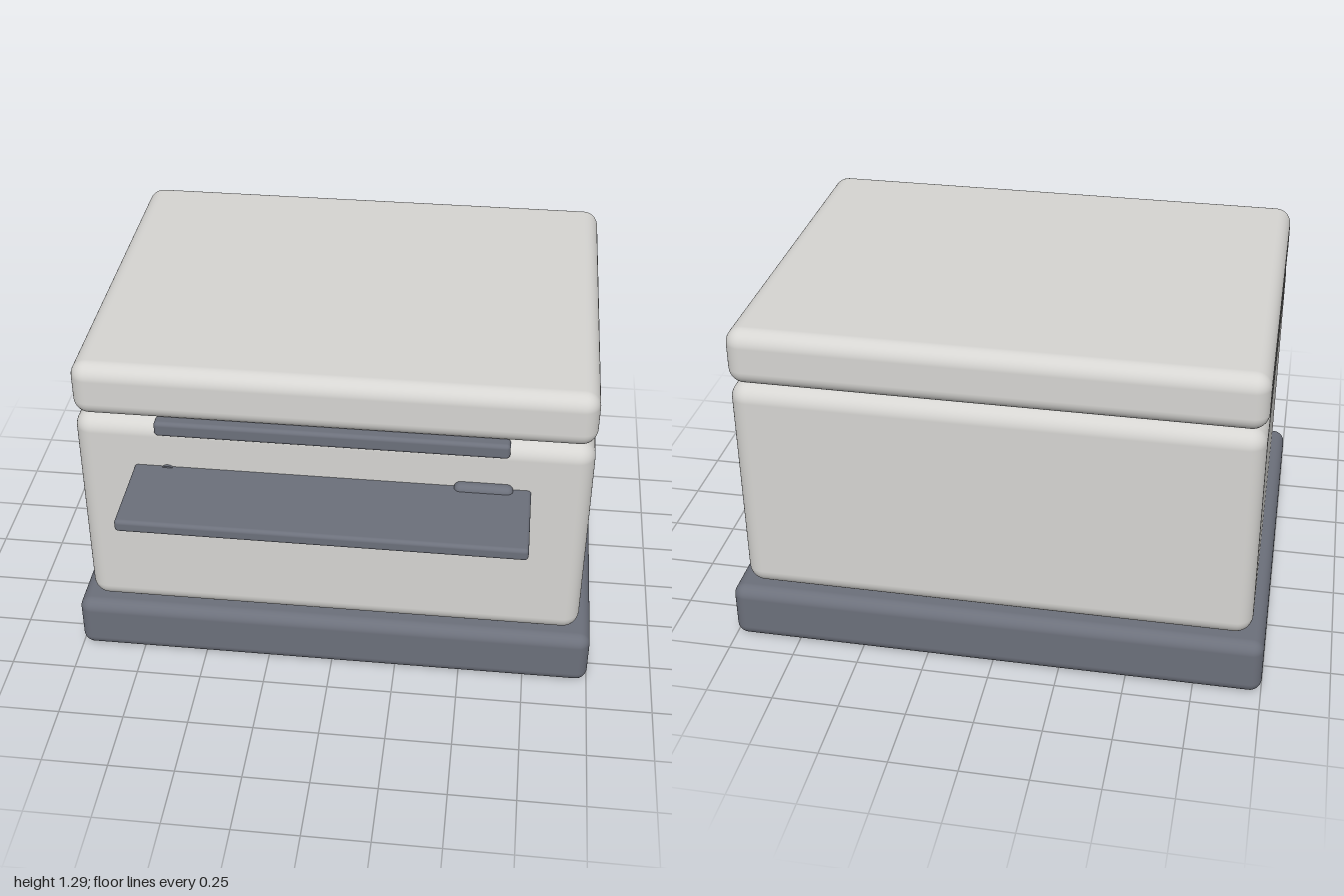
import * as THREE from 'three';
import { RoundedBoxGeometry } from 'three/addons/geometries/RoundedBoxGeometry.js';

export function createModel() {
  const group = new THREE.Group();
  const shell = new THREE.MeshStandardMaterial({ name: 'warm light grey', color: 0xd6d5d2 });
  const dark = new THREE.MeshStandardMaterial({ name: 'slate grey', color: 0x6c707b });

  // Rounded box given by its [min, max] extent on each axis
  function block(name, material, [x0, x1], [y0, y1], [z0, z1], radius) {
    const geometry = new RoundedBoxGeometry(x1 - x0, y1 - y0, z1 - z0, 5, radius);
    const mesh = new THREE.Mesh(geometry, material);
    mesh.name = name;
    mesh.position.set((x0 + x1) / 2, (y0 + y1) / 2, (z0 + z1) / 2);
    group.add(mesh);
    return mesh;
  }

  // Housing: plinth, main body and lid
  block('base', dark, [-1, 1], [0, 0.22], [-0.925, 0.62], 0.045);
  block('body', shell, [-0.95, 0.95], [0.22, 1.08], [-0.885, 0.58], 0.065);
  block('lid', shell, [-0.95, 0.95], [1.08, 1.295], [-0.885, 0.58], 0.06);

  // Front details: paper slot, output tray and control panel
  block('paperSlot', dark, [-0.645, 0.645], [1.03, 1.09], [0.54, 0.598], 0.015);
  block('outputTray', dark, [-0.73, 0.73], [0.84, 0.888], [0.5, 0.925], 0.014);
  block('controlPanel', dark, [0.45, 0.665], [0.825, 0.91], [0.56, 0.615], 0.025);

  // Small round indicator behind the tray
  const light = new THREE.Mesh(new THREE.CylinderGeometry(0.03, 0.03, 0.03, 24), dark);
  light.name = 'indicator';
  light.rotation.x = Math.PI / 2;
  light.position.set(-0.605, 0.865, 0.575);
  group.add(light);

  return group;
}
